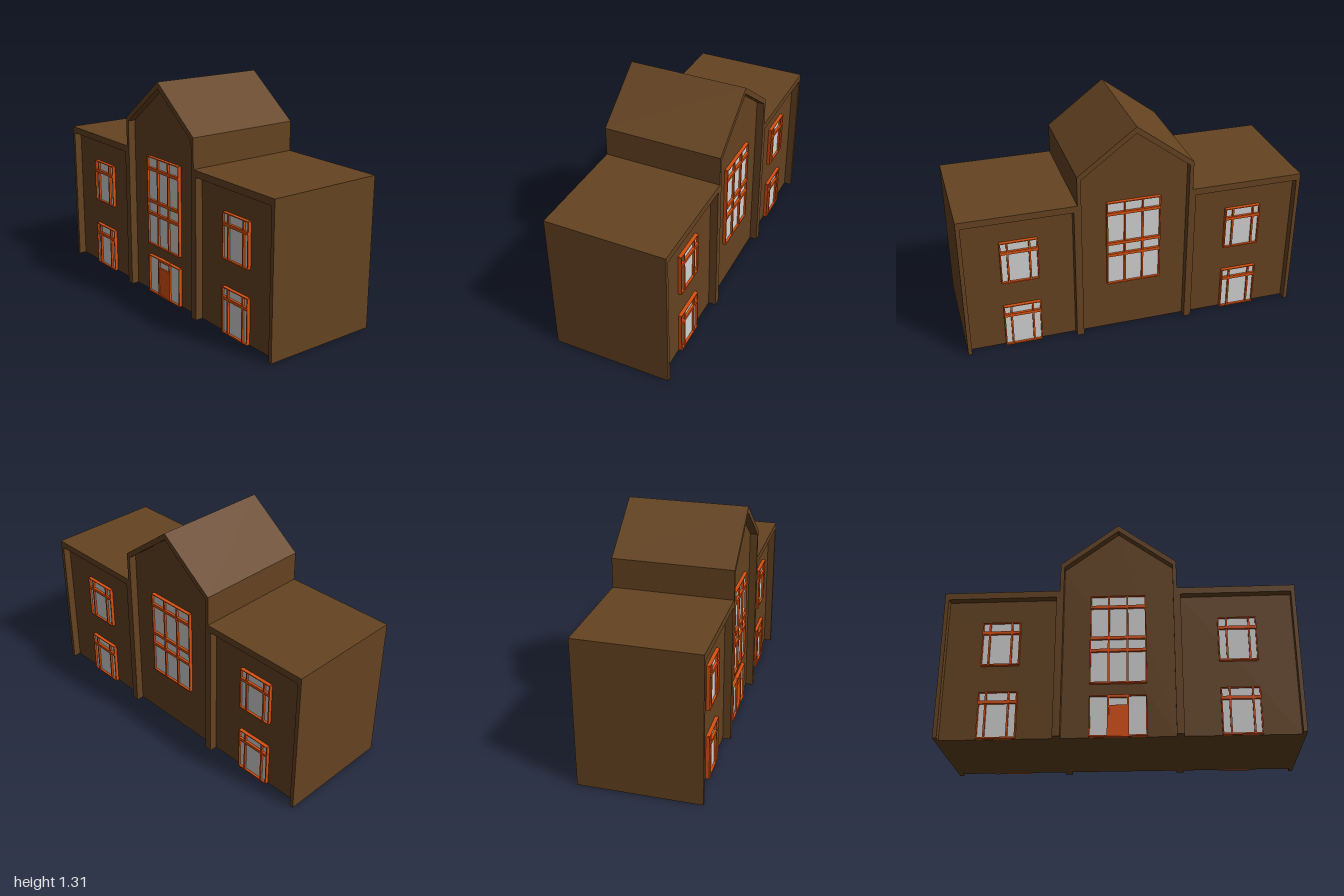
import * as THREE from 'three';

const flat = (name, color) => {
  const m = new THREE.MeshStandardMaterial({ color });
  m.name = name;
  return m;
};

export function createModel() {
  const brown = flat('brown wall', 0x654321);
  const orange = flat('orange trim', 0xd9500f);
  const grey = flat('grey glass', 0xd3d3d3);

  const DEPTH = 0.7, RECESS = 0.045;
  const WALL_Z = DEPTH / 2 - RECESS;
  const model = new THREE.Group();
  model.name = 'building';

  const extrude = (name, points, depth) => {
    const shape = new THREE.Shape(points.map(([x, y]) => new THREE.Vector2(x, y)));
    const geo = new THREE.ExtrudeGeometry(shape, { depth, bevelEnabled: false });
    geo.translate(0, 0, -depth / 2);
    const mesh = new THREE.Mesh(geo, brown);
    mesh.name = name;
    model.add(mesh);
  };

  // A shell open at the bottom, filled by a wall block recessed at both ends
  const block = (name, outer, inner) => {
    extrude(name + 'Shell', [...outer, ...[...inner].reverse()], DEPTH);
    extrude(name + 'Walls', inner, DEPTH - 2 * RECESS);
  };

  block('centre',
    [[-0.335, 0], [-0.335, 1.055], [0, 1.31], [0.335, 1.055], [0.335, 0]],
    [[-0.313, 0], [-0.313, 1.035], [0, 1.272], [0.313, 1.035], [0.313, 0]]);
  for (const s of [1, -1]) {
    block(s > 0 ? 'leftWing' : 'rightWing',
      [[s * 0.335, 0], [s * 0.335, 0.88], [s, 0.88], [s, 0]],
      [[s * 0.355, 0], [s * 0.355, 0.84], [s * 0.977, 0.84], [s * 0.977, 0]]);
  }

  // Box spanning x0..x1, y0..y1 and standing out from the wall by d
  const plate = (parent, name, mat, x0, x1, y0, y1, d) => {
    const mesh = new THREE.Mesh(new THREE.BoxGeometry(x1 - x0, y1 - y0, d), mat);
    mesh.position.set((x0 + x1) / 2, (y0 + y1) / 2, WALL_Z + d / 2);
    mesh.name = name;
    parent.add(mesh);
  };

  // Glass with a thin border, upright mullions and level transoms
  const windowUnit = (parent, name, x0, x1, y0, y1, mullions, transoms) => {
    const g = new THREE.Group();
    g.name = name;
    parent.add(g);
    const t = 0.007;
    plate(g, 'glass', grey, x0, x1, y0, y1, 0.008);
    plate(g, 'jamb', orange, x0 - t / 2, x0 + t / 2, y0, y1, 0.02);
    plate(g, 'jamb', orange, x1 - t / 2, x1 + t / 2, y0, y1, 0.02);
    plate(g, 'sill', orange, x0, x1, y0 - 0.003, y0 + 0.005, 0.021);
    plate(g, 'head', orange, x0, x1, y1 - 0.003, y1 + 0.002, 0.021);
    for (const x of mullions) plate(g, 'mullion', orange, x - 0.005, x + 0.005, y0, y1, 0.02);
    for (const y of transoms) plate(g, 'transom', orange, x0, x1, y - 0.009, y + 0.009, 0.022);
    return g;
  };

  const facade = (name, hasDoor) => {
    const f = new THREE.Group();
    f.name = name;
    model.add(f);
    for (const s of [1, -1]) {
      const [x0, x1] = s > 0 ? [0.56, 0.77] : [-0.77, -0.56];
      const bars = [s * 0.605, s * 0.73];
      windowUnit(f, 'upperWindow', x0, x1, 0.435, 0.695, bars, [0.632]);
      windowUnit(f, 'lowerWindow', x0, x1, 0.004, 0.27, bars, [0.21]);
    }
    windowUnit(f, 'tallWindow', -0.158, 0.153, 0.313, 0.85, [-0.055, 0.05], [0.78, 0.585, 0.508]);
    if (hasDoor) {
      // Entrance: two sidelights, a door and a fanlight over it
      const e = windowUnit(f, 'entrance', -0.158, 0.153, 0.004, 0.236, [-0.057, 0.052], []);
      plate(e, 'door', orange, -0.057, 0.052, 0, 0.182, 0.016);
      plate(e, 'doorHead', orange, -0.057, 0.052, 0.224, 0.24, 0.022);
    }
    return f;
  };
  facade('frontFacade', true);
  facade('backFacade', false).rotation.y = Math.PI;

  return model;
}
